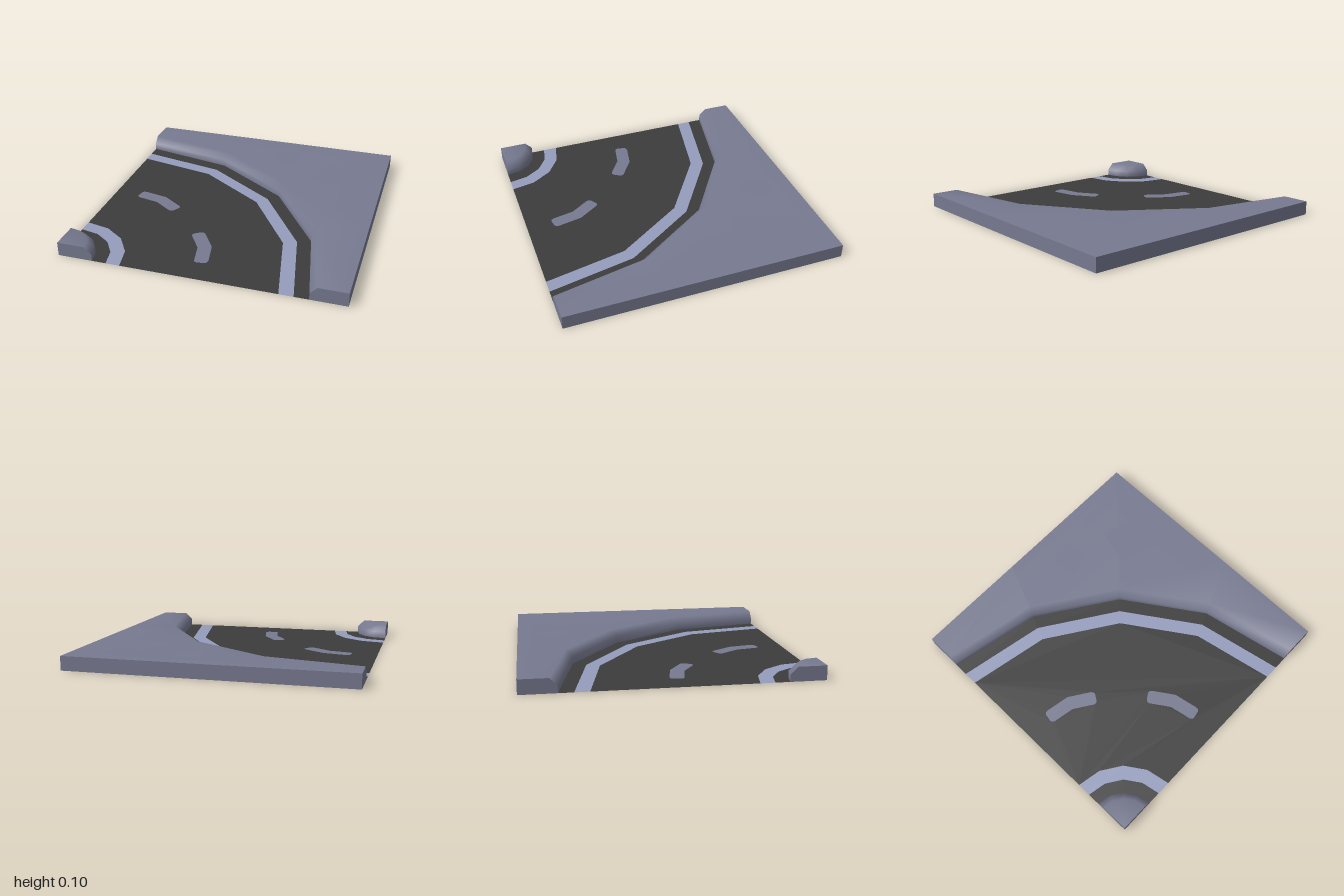
import * as THREE from 'three';

const mat = (name, color) => {
  const m = new THREE.MeshStandardMaterial({ color, side: THREE.DoubleSide });
  m.name = name;
  return m;
};

const SEG = 4, STEP = Math.PI / 2 / SEG, DEG = Math.PI / 180;

// Point on the faceted arc of radius r at angle a, measured from the bend's centre
function arcPoint(r, a) {
  const local = a - STEP * Math.min(SEG - 1, Math.floor(a / STEP + 1e-6));
  const k = r * Math.cos(STEP / 2) / Math.cos(local - STEP / 2);
  return new THREE.Vector2(k * Math.cos(a), k * Math.sin(a));
}

function arc(r) {
  return Array.from({ length: SEG + 1 }, (_, i) => arcPoint(r, i * STEP));
}

export function createModel() {
  const asphalt = mat('asphalt', 0x3c3c3c);
  const concrete = mat('concrete', 0x777a90);
  const paint = mat('linePaint', 0x959dbd);
  const group = new THREE.Group();
  group.name = 'roadCorner';

  const add = (name, geometry, material) => {
    const mesh = new THREE.Mesh(geometry, material);
    mesh.name = name;
    group.add(mesh);
  };

  // Lay a flat shape on the tile, with the bend's centre at the front right corner
  const lay = (name, shape, material, y = 0) => {
    const g = new THREE.ShapeGeometry(shape);
    g.rotateX(-Math.PI / 2).translate(-1, y, 1);
    add(name, g, material);
  };

  const band = (r0, r1) => new THREE.Shape([...arc(r1), ...arc(r0).reverse()]);

  // Centre dashes with rounded ends, set into the road
  const half = [[1.05, 0], [1.05, 9.7], [1.043, 10.8], [1.028, 11.25],
    [0.972, 11.25], [0.957, 10.8], [0.95, 9.7], [0.95, 0]];
  const dash = (centre) => [
    ...half.map(([r, a]) => arcPoint(r, (centre + a) * DEG)),
    ...half.slice(1, -1).reverse().map(([r, a]) => arcPoint(r, (centre - a) * DEG)),
  ];
  const lanes = band(0.45, 1.55);
  for (const centre of [22.5, 67.5]) {
    lanes.holes.push(new THREE.Path(dash(centre)));
    lay('centreDash', new THREE.Shape(dash(centre)), concrete);
  }

  // Road surface and edge lines
  lay('lanes', lanes, asphalt);
  lay('innerGutter', band(0.25, 0.35), asphalt);
  lay('innerLine', band(0.35, 0.45), paint);
  lay('outerLine', band(1.55, 1.65), paint);
  lay('outerGutter', band(1.65, 1.75), asphalt);

  // Kerb and pavement swept round the bend; radius 'edge' reaches the tile border
  const sweep = (name, profile) => {
    const pos = [], index = [], n = SEG + 1;
    for (const [r, y] of profile) {
      for (let j = 0; j < n; j++) {
        const c = Math.cos(j * STEP), s = Math.sin(j * STEP);
        const d = r === 'edge' ? 2 / Math.max(c, s) : r;
        pos.push(-1 + d * c, y, 1 - d * s);
      }
    }
    for (let i = 0; i < profile.length - 1; i++) {
      for (let j = 0; j < SEG; j++) {
        const a = i * n + j, b = a + n;
        index.push(a, b, a + 1, b, b + 1, a + 1);
      }
    }
    const g = new THREE.BufferGeometry();
    g.setAttribute('position', new THREE.Float32BufferAttribute(pos, 3));
    g.setIndex(index);
    g.computeVertexNormals();
    add(name, g, concrete);
  };
  sweep('outerPavement', [[1.75, 0], [1.75, 0.05], [1.8, 0.1], ['edge', 0.1]]);
  sweep('innerPavement', [[0.001, 0.1], [0.2, 0.1], [0.25, 0.05], [0.25, 0]]);

  // End walls closing both pavements at the front and right borders
  const ends = {
    outerEnd: [[1.75, 0], [2, 0], [2, 0.1], [1.8, 0.1], [1.75, 0.05]],
    innerEnd: [[0, 0], [0.25, 0], [0.25, 0.05], [0.2, 0.1], [0, 0.1]],
  };
  for (const [name, pts] of Object.entries(ends)) {
    const shape = new THREE.Shape(pts.map(([x, y]) => new THREE.Vector2(x, y)));
    add(name + 'Front', new THREE.ShapeGeometry(shape).translate(-1, 0, 1), concrete);
    // Mirrored so that its face looks out to -x
    const side = new THREE.Shape(pts.map(([x, y]) => new THREE.Vector2(-x, y)));
    add(name + 'Side', new THREE.ShapeGeometry(side).rotateY(-Math.PI / 2).translate(-1, 0, 1), concrete);
  }

  // Long outer walls, open underneath
  add('backWall', new THREE.PlaneGeometry(2, 0.1).rotateY(Math.PI).translate(0, 0.05, -1), concrete);
  add('leftWall', new THREE.PlaneGeometry(2, 0.1).rotateY(Math.PI / 2).translate(1, 0.05, 0), concrete);

  // Square paving slabs, almost flush with the pavement
  for (const [x, z, size, turn] of [[0.19, -0.727, 0.196, 14], [0.63, -0.505, 0.292, -15]]) {
    const g = new THREE.PlaneGeometry(size, size).rotateX(-Math.PI / 2);
    add('pavingSlab', g.rotateY(turn * DEG).translate(x, 0.101, z), concrete);
  }
  return group;
}
